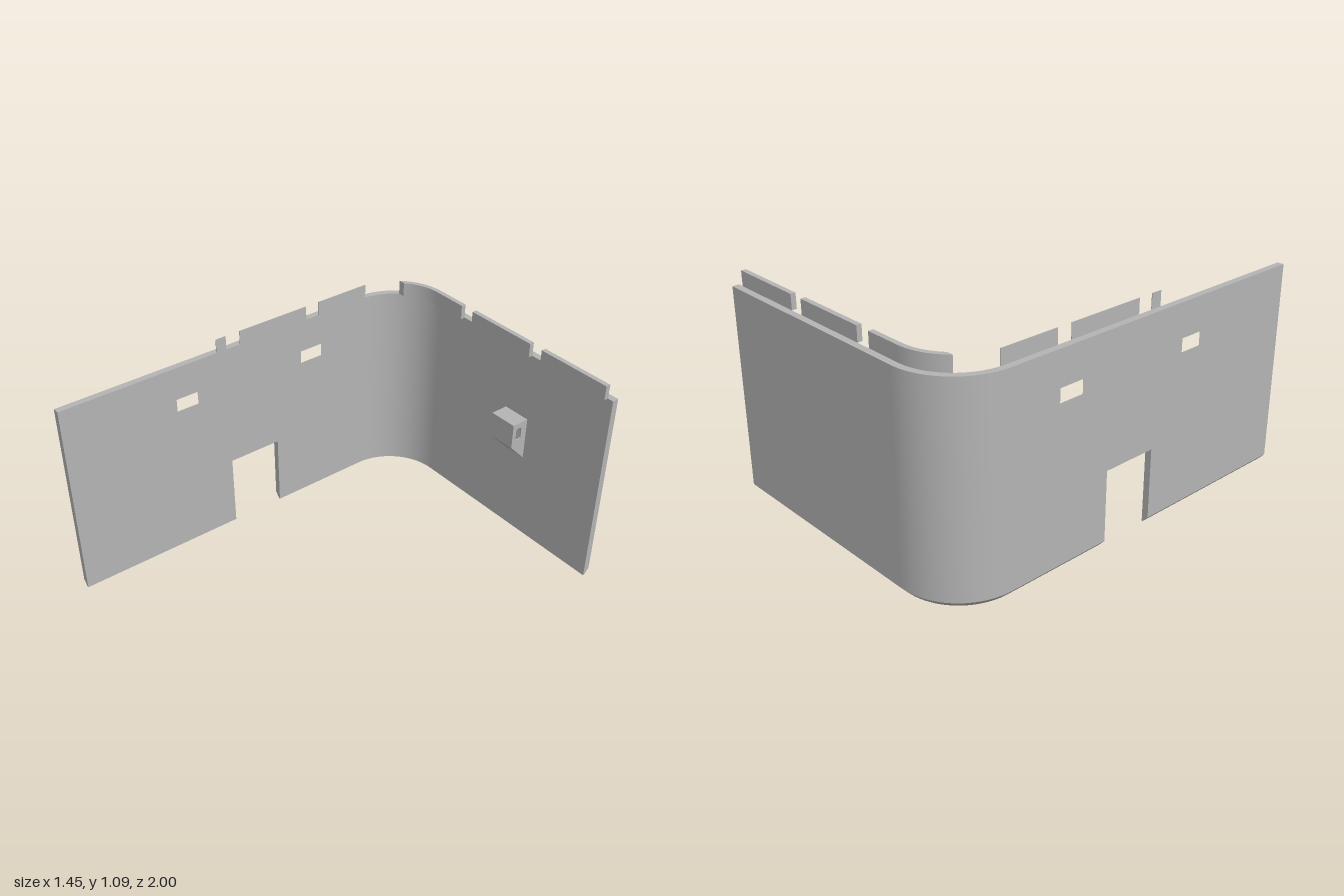
import * as THREE from 'three';
import { toCreasedNormals } from 'three/addons/utils/BufferGeometryUtils.js';

const TOP = 1.018, MERLON_TOP = 1.09, BEVEL = 0.03;
const OUT_X = -0.725, IN_X = -0.692, OUT_Z = -1, IN_Z = -0.967;
const CX = -0.41, CZ = -0.685, R_OUT = 0.315, R_IN = 0.282;

// Shape from [horizontal, vertical] points, with optional holes
function shapeOf(points, holes = []) {
  const toVec = ([a, b]) => new THREE.Vector2(a, b);
  const shape = new THREE.Shape(points.map(toVec));
  holes.forEach(h => shape.holes.push(new THREE.Path(h.map(toVec))));
  return shape;
}

const rect = (a, b, y0, y1) => [[a, y0], [b, y0], [b, y1], [a, y1]];

// Extrude a section given as [z, y] along x
function extrudeX(points, x0, x1, holes = []) {
  const flip = list => list.map(([z, y]) => [-z, y]);
  return new THREE.ExtrudeGeometry(shapeOf(flip(points), holes.map(flip)),
    { depth: x1 - x0, bevelEnabled: false }).rotateY(Math.PI / 2).translate(x0, 0, 0);
}

export function createModel() {
  const group = new THREE.Group();
  const stone = new THREE.MeshStandardMaterial({ color: 0xb4b4b4 });
  stone.name = 'wallGrey';
  const dark = new THREE.MeshStandardMaterial({ color: 0x8a8a8a });
  dark.name = 'slotGrey';
  const add = (name, geometry, material = stone) => {
    const mesh = new THREE.Mesh(geometry, material);
    mesh.name = name;
    group.add(mesh);
  };
  const box = (name, x0, x1, y0, y1, z0, z1) => add(name,
    new THREE.BoxGeometry(x1 - x0, y1 - y0, z1 - z0)
      .translate((x0 + x1) / 2, (y0 + y1) / 2, (z0 + z1) / 2));

  // Back wall with a bevelled outer foot
  add('backWall', extrudeX([[IN_Z, 0], [IN_Z, TOP], [OUT_Z, TOP],
    [OUT_Z, BEVEL], [OUT_Z + 0.027, 0]], CX, 0.725));

  // Rounded corner
  const profile = [[R_IN, 0], [R_OUT - 0.027, 0], [R_OUT, BEVEL],
    [R_OUT, TOP], [R_IN, TOP], [R_IN, 0]].map(p => new THREE.Vector2(...p));
  add('cornerWall', toCreasedNormals(
    new THREE.LatheGeometry(profile, 24, Math.PI, Math.PI / 2), 0.5).translate(CX, 0, CZ));

  // Side wall with a doorway and two windows
  const doorA = 0.135, doorB = -0.145;
  add('sideWall', extrudeX(
    [[1, BEVEL], [1, TOP], [CZ, TOP], [CZ, BEVEL], [doorB, BEVEL],
      [doorB, 0.375], [doorA, 0.375], [doorA, BEVEL]],
    OUT_X, IN_X,
    [rect(0.30, 0.415, 0.785, 0.85), rect(-0.43, -0.305, 0.785, 0.85)]));

  // Bevelled foot on both sides of the doorway
  for (const [z0, z1] of [[CZ, doorB], [doorA, 1]]) {
    add('sideWallFoot', new THREE.ExtrudeGeometry(
      shapeOf([[OUT_X + 0.027, 0], [IN_X, 0], [IN_X, BEVEL], [OUT_X, BEVEL]]),
      { depth: z1 - z0, bevelEnabled: false }).translate(0, 0, z0));
  }

  // Straight merlons on the back wall
  for (const [x0, x1] of [[-0.155, 0.232], [0.305, 0.695]]) {
    box('backMerlon', x0, x1, TOP, MERLON_TOP, IN_Z, -0.943);
  }

  // Merlon that follows the corner, cut square at its end
  const rFace = R_IN - 0.024, cut = 0.19;
  const curve = new THREE.Shape();
  curve.moveTo(-0.23, -IN_Z);
  curve.lineTo(CX, -IN_Z);
  curve.absarc(CX, -CZ, R_IN, Math.PI / 2, Math.PI - Math.asin(cut / R_IN), false);
  curve.absarc(CX, -CZ, rFace, Math.PI - Math.asin(cut / rFace), Math.PI / 2, true);
  curve.lineTo(-0.23, 0.943);
  add('cornerMerlon', toCreasedNormals(new THREE.ExtrudeGeometry(curve,
    { depth: MERLON_TOP - TOP, bevelEnabled: false, curveSegments: 16 }), 0.5)
    .rotateX(-Math.PI / 2).translate(0, TOP, 0));

  // Thin merlons on the side wall
  for (const [z0, z1] of [[0.127, 0.182], [-0.34, 0.05], [-0.71, -0.415]]) {
    box('sideMerlon', IN_X, IN_X + 0.003, TOP, MERLON_TOP, z0, z1);
  }

  // Wall box with a sloping underside and a recessed slot in its side
  const section = [[IN_Z, 0.445], [-0.875, 0.54], [-0.875, 0.67], [IN_Z, 0.67]];
  const slot = [[-0.905, 0.573], [-0.925, 0.573], [-0.932, 0.58], [-0.932, 0.633],
    [-0.925, 0.64], [-0.905, 0.64], [-0.898, 0.633], [-0.898, 0.58]];
  add('wallBox', extrudeX(section, 0.102, 0.238));
  add('wallBoxSide', extrudeX(section, 0.238, 0.248, [slot]));
  add('slotFloor', extrudeX(slot, 0.238, 0.24), dark);

  return group;
}
